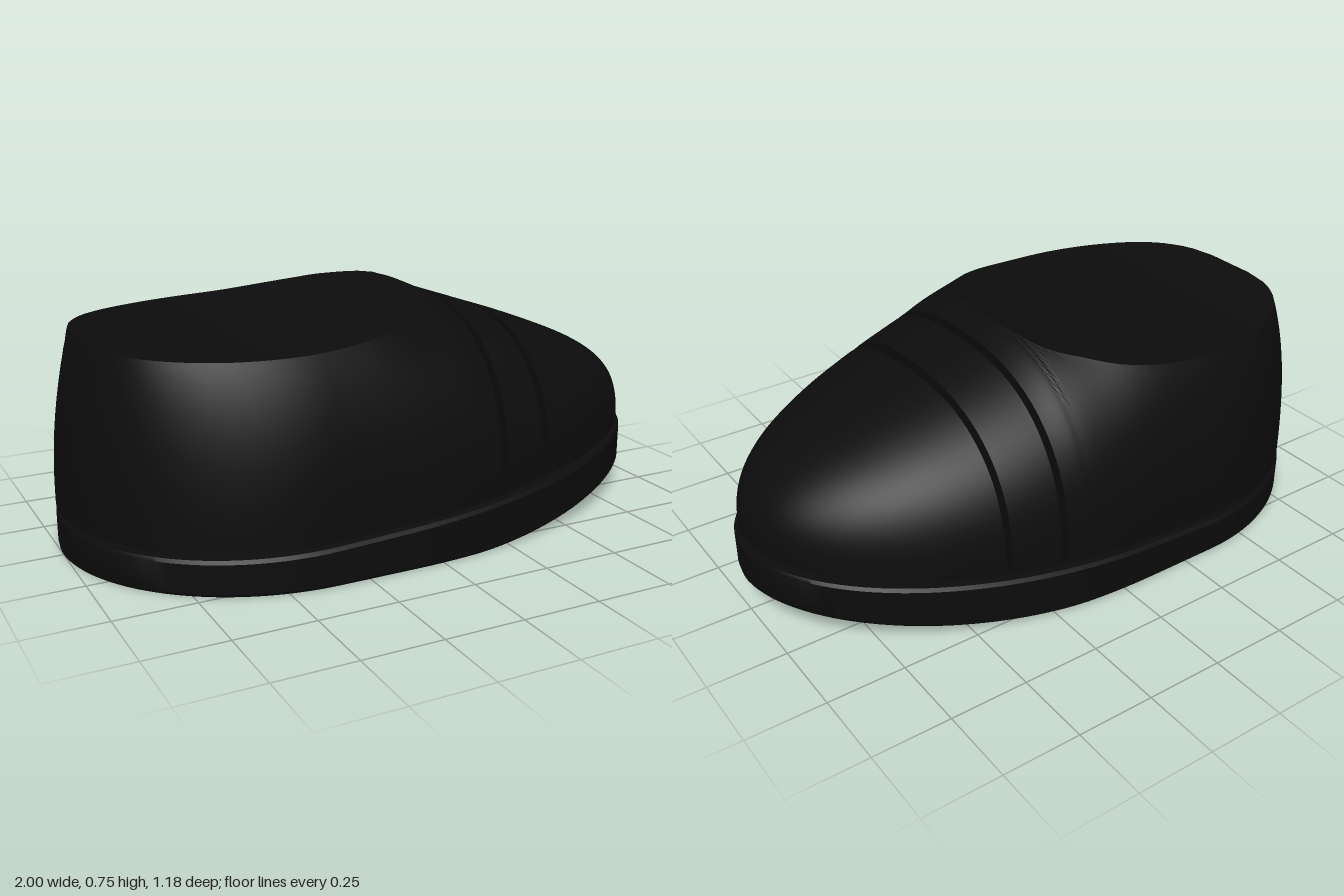
import * as THREE from 'three';
import { toCreasedNormals } from 'three/addons/utils/BufferGeometryUtils.js';

// Smooth height curve through a few (x, y) points
function profile(points) {
  const curve = new THREE.CatmullRomCurve3(points.map(([x, y]) => new THREE.Vector3(x, y, 0)));
  const pts = curve.getPoints(400);
  return (x) => {
    let i = 1;
    while (i < pts.length - 1 && pts[i].x < x) i++;
    const a = pts[i - 1], b = pts[i];
    const t = THREE.MathUtils.clamp((x - a.x) / (b.x - a.x || 1), 0, 1);
    return a.y + (b.y - a.y) * t;
  };
}

// Centre-line height of the full dome, and the collar cut across it
const domeHeight = profile([
  [-1, 0.2], [-0.985, 0.36], [-0.96, 0.5], [-0.92, 0.66], [-0.88, 0.78], [-0.8, 0.87],
  [-0.5, 0.9], [-0.2, 0.87], [0, 0.8], [0.13, 0.757], [0.2, 0.725], [0.4, 0.655],
  [0.6, 0.585], [0.8, 0.5], [0.9, 0.435], [0.95, 0.38], [0.975, 0.32], [0.985, 0.26],
]);
const collarHeight = profile([
  [-1, 0.67], [-0.92, 0.668], [-0.6, 0.66], [-0.3, 0.668], [-0.1, 0.693],
  [0, 0.716], [0.13, 0.758], [0.2, 0.9], [1, 1.2],
]);
const upperBase = (x) => 0.13 + 0.12 * ((x + 1) / 2) ** 2;
const soleBottom = (x) => 0.11 * Math.max(0, (x - 0.13) / 0.87) ** 1.5;

// Plan outline: blunt elliptical heel, straight waist, long elliptical toe
function halfWidth(x, width, toe) {
  const heelX = -0.35, waistX = -0.1;
  let u = 0;
  if (x < heelX) u = (heelX - x) / (1 + heelX);
  else if (x > waistX) u = (x - waistX) / (toe - waistX);
  return width * Math.sqrt(Math.max(0, 1 - u * u));
}

// Skin a list of cross-sections, each {x, points: [[z, y], ...]}
function loft(sections) {
  const n = sections[0].points.length;
  const pos = [], index = [];
  sections.forEach(({ x, points }) => points.forEach(([z, y]) => pos.push(x, y, z)));
  for (let i = 0; i < sections.length - 1; i++) {
    for (let j = 0; j < n - 1; j++) {
      const a = i * n + j, b = a + n;
      index.push(a, b, a + 1, b, b + 1, a + 1);
    }
  }
  const g = new THREE.BufferGeometry();
  g.setAttribute('position', new THREE.Float32BufferAttribute(pos, 3));
  g.setIndex(index);
  return g;
}

// Stations packed closer together towards both ends
function stations(x0, x1, count) {
  return Array.from({ length: count + 1 }, (_, i) =>
    x0 + (x1 - x0) * (0.5 - 0.5 * Math.cos((Math.PI * i) / count)));
}

// Rounded upper section, sliced flat where the collar lies below the dome
function upperSection(x, inset = 0, drop = 0) {
  const power = 2.5, steps = 20, lidSteps = 6;
  const base = upperBase(x) - drop;
  const dome = Math.max(base + 0.005, domeHeight(x) - inset);
  const top = Math.min(dome, collarHeight(x) - inset);
  const w = Math.max(0, halfWidth(x, 0.582, 0.985) - inset);
  const maxAngle = Math.asin(Math.min(1, ((top - base) / (dome - base)) ** (power / 2)));
  const side = [[Math.max(0, w - 0.05), base]];
  for (let i = 0; i <= steps; i++) {
    const a = maxAngle * (i / steps);
    side.push([
      w * Math.max(0, Math.cos(a)) ** (2 / power),
      base + (dome - base) * Math.sin(a) ** (2 / power),
    ]);
  }
  const rim = side[side.length - 1];
  for (let i = 1; i <= lidSteps; i++) side.push([rim[0] * (1 - i / lidSteps), rim[1]]);
  const other = side.slice(0, -1).reverse().map(([z, y]) => [-z, y]);
  return { x, points: [...side, ...other] };
}

// Upper panel whose ends turn inward to form the seams
function upperPanel(x0, x1, count) {
  const depth = 0.04;
  return loft([
    upperSection(x0, depth),
    ...stations(x0, x1, count).map((x) => upperSection(x)),
    upperSection(x1, depth),
  ]);
}

// Sole section with softened edges
function soleSection(x) {
  const w = halfWidth(x, 0.588, 1), e = 0.01;
  const bottom = soleBottom(x), top = upperBase(x) - 0.022;
  const inner = Math.max(0, w - e);
  const side = [[inner, bottom], [w, bottom + e], [w, top - e], [inner, top]];
  const other = side.slice().reverse().map(([z, y]) => [-z, y]);
  return { x, points: [...side, ...other, side[0]] };
}

export function createModel() {
  const shoe = new THREE.Group();
  shoe.name = 'shoe';
  const black = new THREE.MeshStandardMaterial({ color: 0x0c0c0c, side: THREE.DoubleSide });
  black.name = 'black';

  const add = (name, geometry) => {
    const mesh = new THREE.Mesh(toCreasedNormals(geometry, 0.6), black);
    mesh.name = name;
    shoe.add(mesh);
  };

  add('sole', loft(stations(-1, 1, 70).map(soleSection)));
  add('heelQuarter', upperPanel(-1, 0.21, 70));
  add('strap', upperPanel(0.235, 0.385, 10));
  add('toeCap', upperPanel(0.415, 0.985, 40));

  // Inner body showing at the bottom of the seams
  const core = loft(stations(-1, 0.985, 70).map((x) => upperSection(x, 0.03, 0.04)));
  core.scale(0.97, 1, 1);
  add('innerBody', core);

  return shoe;
}
